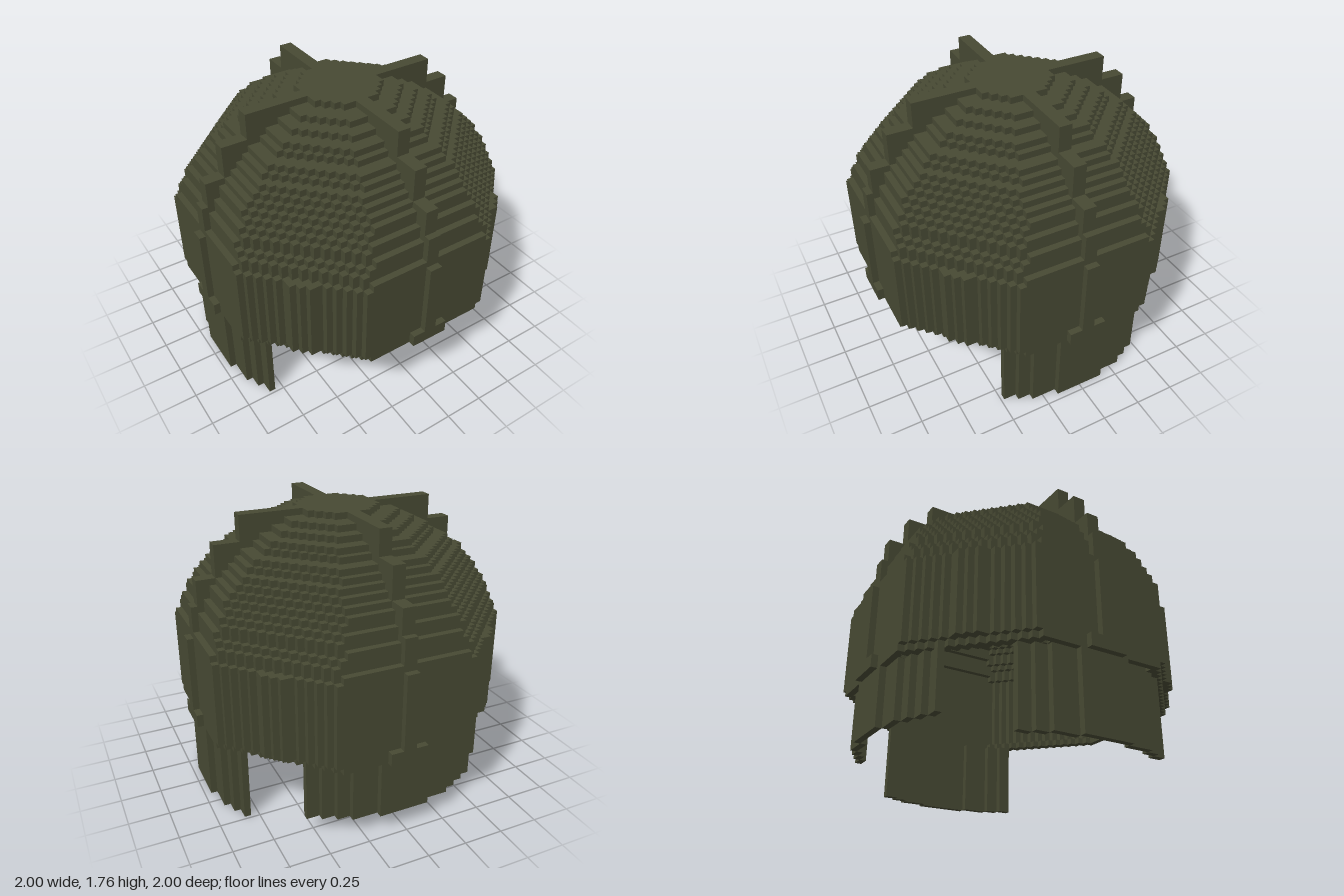
import * as THREE from 'three';
import { mergeGeometries } from 'three/addons/utils/BufferGeometryUtils.js';

const U = 0.04; // one block

// Dome layers in blocks: [top height, half width, x + z limit of the diagonal sides]
const RIM = 12;
const LAYERS = [
  [13, 24, 34], [26, 24, 35], [27, 24, 34], [28, 23, 34], [29, 23, 33], [30, 23, 32],
  [31, 22, 32], [32, 22, 31], [33, 21, 30], [34, 21, 29], [35, 20, 28], [36, 19, 27],
  [37, 18, 26], [38, 17, 24], [39, 16, 23], [40, 14, 20], [41, 13, 19], [42, 11, 16],
  [43, 9, 13], [44, 6, 9],
];
// Rib steps in blocks: [bottom, top, reach from the axis]
const RIB_STEPS = [[14, 26, 25], [26, 31, 24], [31, 35, 23], [35, 40, 20], [40, 44, 16]];

// Octagon outline whose diagonal sides are staircases of blocks;
// the widest one bulges by a block in the middle of each diagonal
function steppedOctagon(a, limit, Type) {
  const corner = [];
  let last = a;
  for (let x = 1; x <= a; x++) {
    const bulge = limit === 35 && x >= 17 && x <= 19 ? 1 : 0;
    const height = Math.min(a, limit - x + bulge);
    if (height !== last) corner.push([x - 1, last], [x - 1, height]);
    last = height;
  }
  corner.push([a, last]);
  const points = [];
  for (let q = 0; q < 4; q++) {
    for (const [x, y] of corner) {
      const p = [[y, x], [-x, y], [-y, -x], [x, -y]][q];
      points.push(new THREE.Vector2(p[0] * U, p[1] * U));
    }
  }
  return new Type(points);
}

// Box from minimum and maximum block coordinates
function block(x0, x1, y0, y1, z0, z1) {
  const g = new THREE.BoxGeometry((x1 - x0) * U, (y1 - y0) * U, (z1 - z0) * U);
  return g.translate((x0 + x1) * U / 2, (y0 + y1) * U / 2, (z0 + z1) * U / 2);
}

// Curved one-block-thick guard hanging on the +z side
function guard(halfWidth, bottom) {
  const parts = [];
  for (let x = -halfWidth; x < halfWidth; x++) {
    const r = Math.floor(Math.sqrt(576 - (x + 0.5) ** 2) + 0.4);
    parts.push(block(x, x + 1, bottom, RIM, r - 1, r));
  }
  return mergeGeometries(parts);
}

export function createModel() {
  const model = new THREE.Group();
  const olive = new THREE.MeshStandardMaterial({ color: 0x474933 });
  olive.name = 'olive';
  const add = (name, geometry, turn = 0) => {
    const mesh = new THREE.Mesh(geometry, olive);
    mesh.name = name;
    mesh.rotation.y = turn;
    model.add(mesh);
  };

  // Hollow dome of stacked rings, closed by a disc
  const rings = LAYERS.map(([top, a, limit], i) => {
    const bottom = i ? LAYERS[i - 1][0] : RIM;
    const shape = steppedOctagon(a, limit, THREE.Shape);
    const above = LAYERS[i + 1];
    if (above) {
      const hole = steppedOctagon(Math.min(a - 1, above[1]), Math.min(limit - 2, above[2]), THREE.Path);
      shape.holes.push(hole);
    }
    const g = new THREE.ExtrudeGeometry(shape, { depth: (top - bottom) * U, bevelEnabled: false });
    return g.rotateX(-Math.PI / 2).translate(0, bottom * U, 0);
  });
  add('dome', mergeGeometries(rings));

  // One rib, starting at the dome surface on every layer, with a wide foot
  const rib = [block(-3, 3, RIM, 14, 24, 25)];
  for (const [y0, y1, reach] of RIB_STEPS) {
    LAYERS.forEach(([top, a], i) => {
      const low = Math.max(y0, i ? LAYERS[i - 1][0] : RIM);
      const high = Math.min(y1, top);
      if (high > low && reach > a) rib.push(block(-1, 1, low, high, a, reach));
    });
  }
  const ribGeometry = mergeGeometries(rib);
  ['frontRib', 'leftRib', 'backRib', 'rightRib'].forEach((name, i) => {
    add(name, ribGeometry, i * Math.PI / 2);
  });

  // Ear flaps and neck guard below the rim
  const flap = guard(12, 0);
  add('leftEarFlap', flap, Math.PI / 2);
  add('rightEarFlap', flap, -Math.PI / 2);
  add('neckGuard', guard(14, 3), Math.PI);

  return model;
}
